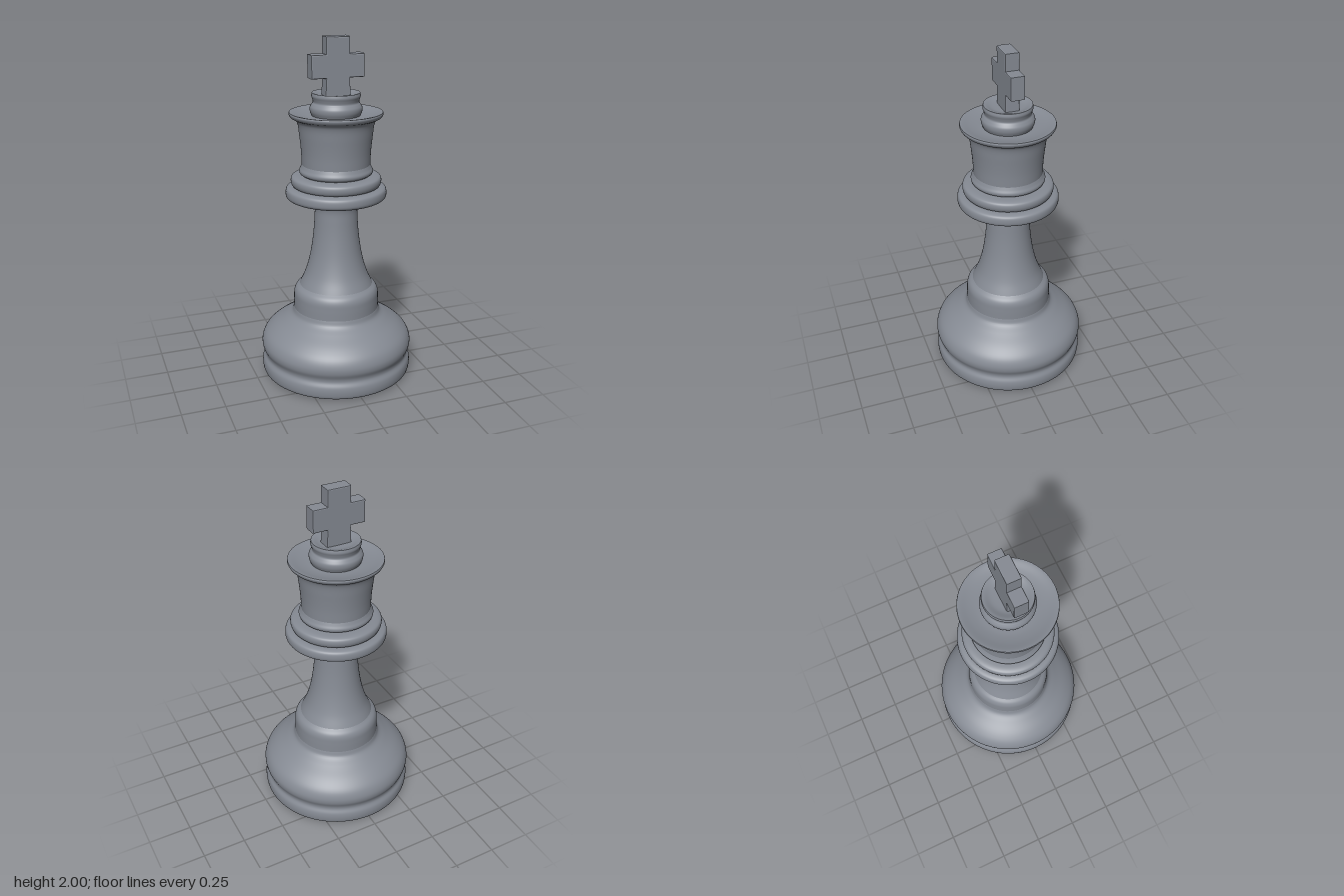
import * as THREE from 'three';

const slate = new THREE.MeshStandardMaterial({ color: 0x858a93 });
slate.name = 'slate grey';

// Turned part: a smooth curve through [radius, height] points, spun about y
function turned(name, points, smooth = true) {
  let profile = points.map(([r, y]) => new THREE.Vector2(r, y));
  if (smooth) {
    const curve = new THREE.CatmullRomCurve3(points.map(([r, y]) => new THREE.Vector3(r, y, 0)), false, 'centripetal');
    profile = curve.getPoints((points.length - 1) * 5).map(p => new THREE.Vector2(Math.max(p.x, 0), p.y));
  }
  const mesh = new THREE.Mesh(new THREE.LatheGeometry(profile, 80), slate);
  mesh.name = name;
  return mesh;
}

// Cross outline with a slightly flared foot, softened by a small bevel
function cross() {
  const b = 0.006, w = 0.069 - b, arm = 0.155 - b;
  const lo = 1.775 + b, hi = 1.905 - b, top = 2 - b;
  const right = [[0.075 - b, 1.66], [w, lo], [arm, lo], [arm, hi], [w, hi], [w, top]];
  const left = right.map(([x, y]) => [-x, y]).reverse();
  const shape = new THREE.Shape([...right, ...left].map(([x, y]) => new THREE.Vector2(x, y)));
  const geometry = new THREE.ExtrudeGeometry(shape, {
    depth: 0.08 - 2 * b, bevelEnabled: true, bevelThickness: b, bevelSize: b, bevelSegments: 2,
  });
  geometry.translate(0, 0, -0.04 + b);
  const mesh = new THREE.Mesh(geometry, slate);
  mesh.name = 'cross';
  return mesh;
}

export function createModel() {
  const king = new THREE.Group();
  king.name = 'chessKing';
  king.add(
    turned('underside', [[0, 0], [0.25, 0], [0.425, 0.008]], false),
    // Foot ring, waist groove and domed base
    turned('base', [[0.425, 0.008], [0.442, 0.018], [0.449, 0.05], [0.446, 0.085], [0.433, 0.115], [0.434, 0.135],
      [0.447, 0.17], [0.448, 0.205], [0.43, 0.25], [0.385, 0.295], [0.31, 0.345], [0.265, 0.378], [0.253, 0.41]]),
    turned('plinth', [[0.253, 0.41], [0.252, 0.47], [0.249, 0.51], [0.238, 0.535], [0.215, 0.555]]),
    turned('stem', [[0.215, 0.555], [0.182, 0.63], [0.154, 0.73], [0.135, 0.85], [0.126, 0.96], [0.125, 1.03],
      [0.136, 1.06], [0.17, 1.078], [0.21, 1.086]]),
    // Two stacked collars
    turned('lowerCollar', [[0.21, 1.086], [0.268, 1.085], [0.287, 1.097], [0.291, 1.12], [0.285, 1.145],
      [0.265, 1.155], [0.225, 1.158]]),
    turned('upperCollar', [[0.225, 1.158], [0.25, 1.162], [0.26, 1.185], [0.256, 1.21], [0.238, 1.22], [0.195, 1.225]]),
    turned('headBead', [[0.195, 1.225], [0.208, 1.235], [0.211, 1.25], [0.203, 1.268], [0.196, 1.285]]),
    // Flaring head with a dished top
    turned('head', [[0.196, 1.285], [0.199, 1.36], [0.208, 1.45], [0.219, 1.525], [0.232, 1.545],
      [0.256, 1.557], [0.266, 1.575], [0.264, 1.585]]),
    turned('headTop', [[0.264, 1.585], [0.25, 1.583], [0.21, 1.573], [0.17, 1.567], [0.13, 1.566]]),
    // Small stepped cap with a dished top
    turned('cap', [[0.138, 1.566], [0.147, 1.59], [0.147, 1.612], [0.138, 1.628], [0.13, 1.64], [0.133, 1.658],
      [0.138, 1.675], [0.135, 1.693]]),
    turned('capTop', [[0.135, 1.693], [0.12, 1.69], [0.09, 1.68], [0.05, 1.677], [0, 1.677]]),
    cross(),
  );
  return king;
}
